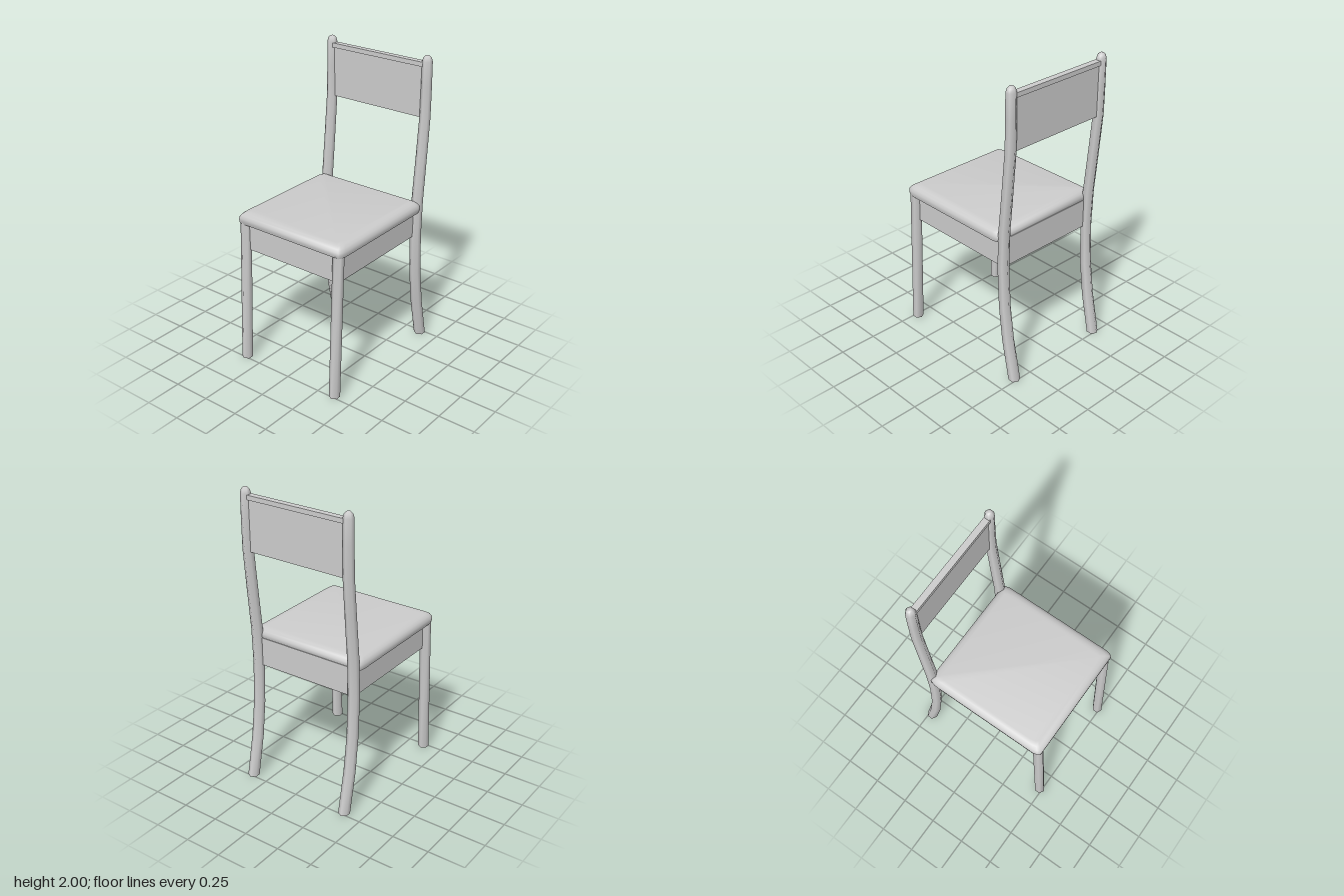
import * as THREE from 'three';
import { toCreasedNormals } from 'three/addons/utils/BufferGeometryUtils.js';

const grey = new THREE.MeshStandardMaterial({ color: 0xcccccc });

function addMesh(group, name, geometry) {
  const mesh = new THREE.Mesh(geometry, grey);
  mesh.name = name;
  group.add(mesh);
  return mesh;
}

// Box given by its lower and upper corners
function addBox(group, name, [x0, y0, z0], [x1, y1, z1]) {
  const mesh = addMesh(group, name, new THREE.BoxGeometry(x1 - x0, y1 - y0, z1 - z0));
  mesh.position.set((x0 + x1) / 2, (y0 + y1) / 2, (z0 + z1) / 2);
}

// Closed skin over horizontal rings, listed bottom to top, counterclockwise from above
function loft(rings) {
  const n = rings[0].length;
  const positions = rings.flat().flat();
  const index = [];
  for (let r = 0; r < rings.length - 1; r++) {
    for (let i = 0; i < n; i++) {
      const a = r * n + i, b = r * n + (i + 1) % n;
      index.push(a, b, b + n, a, b + n, a + n);
    }
  }
  const last = (rings.length - 1) * n;
  for (let i = 1; i < n - 1; i++) {
    index.push(0, i + 1, i);
    index.push(last, last + i, last + i + 1);
  }
  const geometry = new THREE.BufferGeometry();
  geometry.setAttribute('position', new THREE.Float32BufferAttribute(positions, 3));
  geometry.setIndex(index);
  return toCreasedNormals(geometry, 1.2);
}

// Six-sided leg following stations of [height, z, radius]
function legGeometry(stations) {
  return loft(stations.map(([y, z, r]) => Array.from({ length: 6 }, (_, i) => {
    const a = i * Math.PI / 3;
    return [r * Math.sin(a), y, z + r * Math.cos(a)];
  })));
}

// Cushion outline with clipped corners, pulled in by an inset
function cushionRing(y, inset) {
  const corner = [[0.395, 0.428], [0.407, 0.412], [0.414, 0.38]];
  const mirrored = [...corner].reverse();
  const outline = [
    ...corner,
    ...mirrored.map(([x, z]) => [x, -z]),
    ...corner.map(([x, z]) => [-x, -z]),
    ...mirrored.map(([x, z]) => [-x, z]),
  ];
  return outline.map(([x, z]) => [x - Math.sign(x) * inset, y, 0.05 + z - Math.sign(z) * inset]);
}

export function createModel() {
  const chair = new THREE.Group();
  chair.name = 'chair';

  // Legs: straight raked front pair, curved back pair rising into domed posts
  const frontLeg = legGeometry([[0, 0.482, 0.036], [0.99, 0.442, 0.036]]);
  const backPost = legGeometry([
    [0, -0.479, 0.038], [0.28, -0.421, 0.038], [0.52, -0.391, 0.037],
    [0.8, -0.379, 0.037], [1.05, -0.387, 0.037], [1.32, -0.413, 0.036],
    [1.6, -0.438, 0.035], [1.8, -0.441, 0.034], [1.96, -0.441, 0.033],
    [1.985, -0.441, 0.026], [1.997, -0.441, 0.014], [2, -0.441, 0.004],
  ]);
  for (const [side, x] of [['left', 0.37], ['right', -0.37]]) {
    addMesh(chair, `${side} front leg`, frontLeg).position.x = x;
    addMesh(chair, `${side} back post`, backPost).position.x = x;
  }

  // Seat frame and padded cushion
  addBox(chair, 'seat frame', [-0.37, 0.797, -0.38], [0.37, 0.99, 0.445]);
  addMesh(chair, 'seat cushion', loft([
    cushionRing(0.98, 0.004), cushionRing(0.998, 0), cushionRing(1.018, 0),
    cushionRing(1.036, 0.011), cushionRing(1.049, 0.028), cushionRing(1.055, 0.052),
  ]));

  // Backrest: thin panel under a thicker top rail
  addBox(chair, 'backrest panel', [-0.37, 1.595, -0.451], [0.37, 1.93, -0.428]);
  addBox(chair, 'top rail', [-0.37, 1.925, -0.46], [0.37, 1.955, -0.419]);

  return chair;
}
